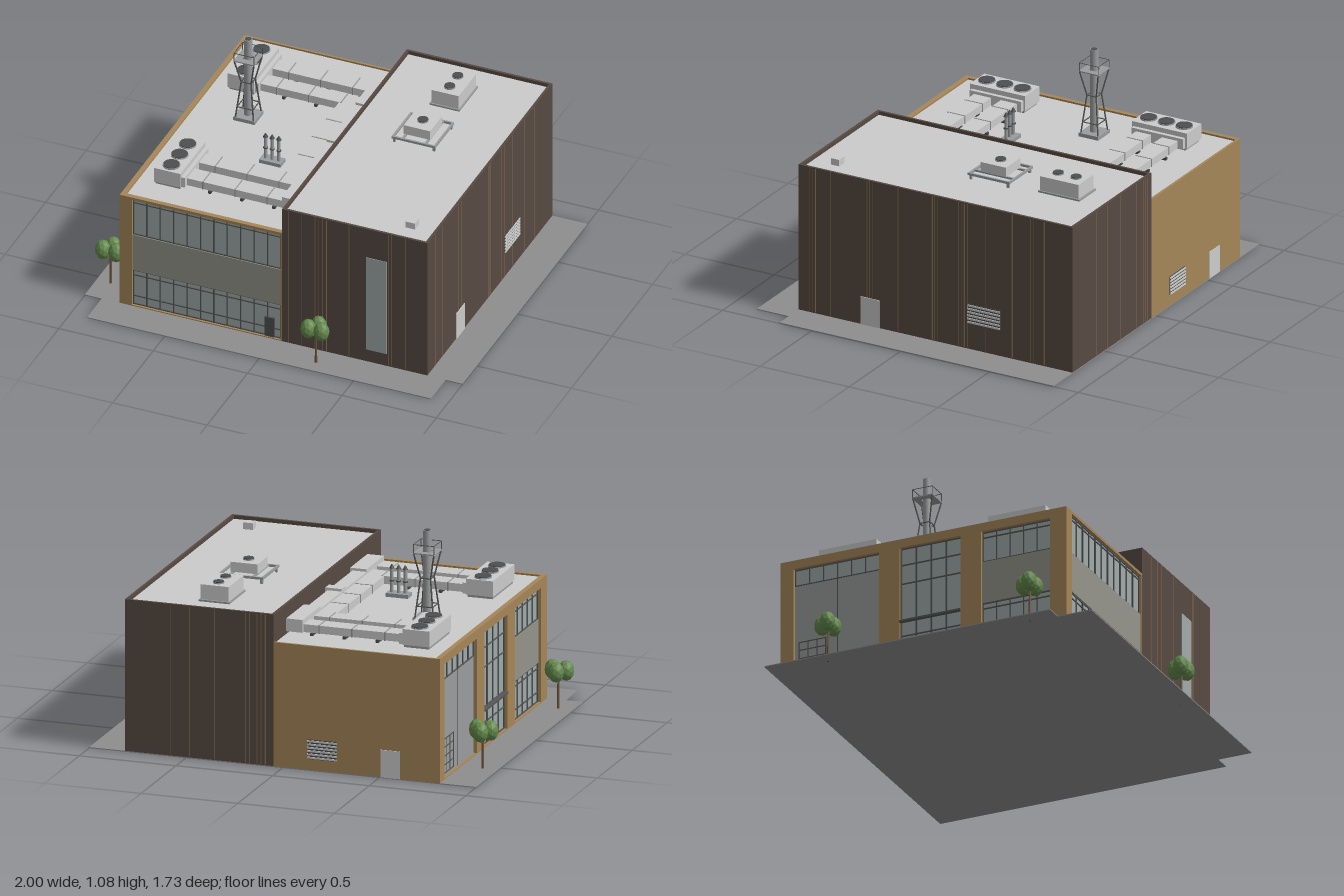
import * as THREE from 'three';

const mat = (color, flatShading = false) => new THREE.MeshStandardMaterial({ color, flatShading });
const GREY = mat(0xcccccc), PAVING = mat(0x8e8e8e), BROWN = mat(0x574a42), STRIP = mat(0x836a50);
const TAN = mat(0xa58659), GLASS = mat(0xa0aaaa), SPANDREL = mat(0x94948b), FRAME = mat(0x555856);
const DARK = mat(0x4c4e4f), LEAF = mat(0x64894c, true), BARK = mat(0x6b553c), METAL = mat(0x9a9c9d);

export function createModel() {
  const model = new THREE.Group();
  model.name = 'industrialBuilding';

  const add = (name, geo, m, x = 0, y = 0, z = 0, parent = model) => {
    const mesh = new THREE.Mesh(geo, m);
    mesh.name = name;
    mesh.position.set(x, y, z);
    parent.add(mesh);
    return mesh;
  };
  // Box given by its limits on each axis
  const box = (name, m, x0, x1, y0, y1, z0, z1, parent = model) =>
    add(name, new THREE.BoxGeometry(x1 - x0, y1 - y0, z1 - z0), m,
      (x0 + x1) / 2, (y0 + y1) / 2, (z0 + z1) / 2, parent);
  const cyl = (name, m, r0, r1, y0, y1, x, z, n = 16, parent = model) =>
    add(name, new THREE.CylinderGeometry(r1, r0, y1 - y0, n), m, x, (y0 + y1) / 2, z, parent);
  const rod = (name, m, a, b, r, parent = model) => {
    const A = new THREE.Vector3(...a), B = new THREE.Vector3(...b), d = B.clone().sub(A);
    const mesh = add(name, new THREE.CylinderGeometry(r, r, d.length(), 6), m, 0, 0, 0, parent);
    mesh.position.copy(A).add(B).multiplyScalar(0.5);
    mesh.quaternion.setFromUnitVectors(new THREE.Vector3(0, 1, 0), d.normalize());
    return mesh;
  };
  // Flat plate with rectangular openings
  const plate = (name, m, [u0, u1, v0, v1], holes, depth) => {
    const path = (P, a, b, c, d) => {
      const p = new P();
      p.moveTo(a, c); p.lineTo(b, c); p.lineTo(b, d); p.lineTo(a, d); p.closePath();
      return p;
    };
    const shape = path(THREE.Shape, u0, u1, v0, v1);
    holes.forEach(([a, b, c, d]) => shape.holes.push(path(THREE.Path, a, b, c, d)));
    return add(name, new THREE.ExtrudeGeometry(shape, { depth, bevelEnabled: false }), m);
  };
  // Window bars inside a rectangle; the group's local +z faces outward
  const glazing = (name, parent, [u0, u1, v0, v1], cols, rails, pane = GLASS) => {
    const g = new THREE.Group();
    g.name = name;
    parent.add(g);
    box('pane', pane, u0, u1, v0, v1, 0, 0.004, g);
    for (let i = 0; i <= cols; i++) {
      const u = u0 + 0.003 + (u1 - u0 - 0.006) * i / cols;
      box('mullion', FRAME, u - 0.003, u + 0.003, v0, v1, 0.003, 0.01, g);
    }
    [v0 + 0.003, ...rails, v1 - 0.003].forEach(v =>
      box('rail', FRAME, u0, u1, v - 0.003, v + 0.003, 0.003, 0.009, g));
  };
  const louvre = (name, parent, [u0, u1, v0, v1], n) => {
    const g = new THREE.Group();
    g.name = name;
    parent.add(g);
    box('backing', DARK, u0, u1, v0, v1, 0, 0.002, g);
    for (let i = 0; i < n; i++) {
      const v = v0 + (v1 - v0) * (i + 0.5) / n;
      box('slat', GREY, u0, u1, v - 0.005, v + 0.004, 0.001, 0.006, g);
    }
  };
  // Group whose local x runs along a wall and local z points outward
  const face = (name, x, z, turn) => {
    const g = new THREE.Group();
    g.name = name;
    g.position.set(x, 0, z);
    g.rotation.y = turn;
    model.add(g);
    return g;
  };

  // Paving
  box('paving', PAVING, -1, 1, 0, 0.005, -0.86, 0.68);
  box('frontPaving', PAVING, -0.91, 0.91, 0, 0.005, 0.68, 0.86);

  // Brown hall with a parapet
  box('hall', BROWN, 0.045, 0.815, 0.005, 0.75, -0.86, 0.68);
  box('hallRoof', GREY, 0.055, 0.805, 0.75, 0.756, -0.85, 0.67);
  const parapet = plate('hallParapet', BROWN, [0.045, 0.815, -0.68, 0.86], [[0.058, 0.802, -0.667, 0.847]], 0.025);
  parapet.rotation.x = -Math.PI / 2;
  parapet.position.y = 0.75;

  // Office wing: core, walls with openings, roof and low parapet
  box('wingCore', TAN, -0.79, 0.045, 0.005, 0.62, -0.86, 0.655);
  plate('wingFrontWall', TAN, [-0.815, 0.045, 0.005, 0.635], [[-0.75, 0.037, 0.01, 0.62]], 0.025).position.z = 0.655;
  const bays = [[-0.79, -0.33, 0.01, 0.59], [-0.22, 0.11, 0.01, 0.59], [0.22, 0.59, 0.01, 0.59]];
  const side = plate('wingSideWall', TAN, [-0.86, 0.655, 0.005, 0.635], bays, 0.025);
  side.rotation.y = -Math.PI / 2;
  side.position.x = -0.79;
  box('wingRoof', GREY, -0.8, 0.045, 0.62, 0.626, -0.85, 0.665);
  box('wingRearParapet', TAN, -0.79, 0.045, 0.62, 0.635, -0.86, -0.848);

  // Front glazing of the wing
  const front = face('frontGlazing', 0, 0.66, 0);
  glazing('upperWindows', front, [-0.75, 0.037, 0.415, 0.62], 11, [0.6]);
  box('spandrel', SPANDREL, -0.75, 0.037, 0.21, 0.415, 0, 0.014, front);
  glazing('lowerWindows', front, [-0.75, 0.037, 0.01, 0.21], 11, [0.06, 0.18]);
  box('entranceDoor', DARK, -0.05, 0, 0.01, 0.12, 0.004, 0.014, front);

  // Side bays of the wing; local x equals z
  const left = face('sideBays', -0.791, 0, -Math.PI / 2);
  box('shutter', METAL, -0.79, -0.33, 0.01, 0.5, 0, 0.008, left);
  glazing('shutterTransom', left, [-0.79, -0.33, 0.5, 0.59], 6, []);
  glazing('shutterWicket', left, [-0.77, -0.62, 0.02, 0.2], 3, [0.065, 0.11, 0.155], METAL);
  box('shutterSeam', FRAME, -0.562, -0.558, 0.01, 0.5, 0.006, 0.01, left);
  glazing('curtainWall', left, [-0.22, 0.11, 0.01, 0.59], 4, [0.12, 0.2, 0.4, 0.5]);
  glazing('bayUpperWindows', left, [0.22, 0.59, 0.43, 0.59], 5, [0.56]);
  box('baySpandrel', SPANDREL, 0.22, 0.59, 0.21, 0.43, 0, 0.012, left);
  glazing('bayLowerWindows', left, [0.22, 0.59, 0.01, 0.21], 5, [0.06, 0.18]);
  box('bayCanopy', FRAME, -0.22, 0.11, 0.19, 0.2, 0.01, 0.03, left);

  // Rear openings; local x is the negative of x
  const rear = face('rearOpenings', 0, -0.86, Math.PI);
  louvre('rearLouvre', rear, [0.13, 0.28, 0.06, 0.16], 6);
  box('rearDoor', GREY, 0.51, 0.61, 0.005, 0.145, 0, 0.004, rear);

  // Hall openings and thin cladding strips
  const right = face('hallSide', 0.815, 0, Math.PI / 2);
  louvre('sideLouvre', right, [0.27, 0.455, 0.14, 0.245], 6);
  box('sideDoor', GREY, -0.33, -0.225, 0.005, 0.152, 0, 0.004, right);
  const hallFront = face('hallFront', 0, 0.68, 0);
  box('tallWindow', GLASS, 0.49, 0.6, 0.075, 0.61, 0, 0.003, hallFront);
  const strips = (parent, list) => list.forEach(u =>
    box('claddingStrip', STRIP, u - 0.002, u + 0.002, 0.01, 0.77, 0, 0.001, parent));
  strips(right, [-0.62, -0.6, -0.585, -0.5, -0.295, -0.28, -0.265, -0.12, 0.07, 0.085, 0.1,
    0.22, 0.235, 0.25, 0.27, 0.37, 0.52, 0.625, 0.64, 0.7]);
  strips(hallFront, [0.08, 0.15, 0.22, 0.24, 0.26, 0.28, 0.4, 0.61, 0.625, 0.7]);
  strips(rear, [-0.09, -0.11, -0.13, -0.17, -0.19, -0.35, -0.48, -0.58]);

  // Round fan on top of a roof unit
  const fan = (x, y, z, r) => {
    cyl('fanRing', METAL, r * 1.08, r * 1.08, y, y + 0.006, x, z, 24);
    cyl('fan', DARK, r, r, y, y + 0.01, x, z, 24);
  };

  // Hall roof units
  box('twinFanUnit', GREY, 0.335, 0.48, 0.75, 0.84, -0.7, -0.485);
  box('twinFanCurb', METAL, 0.328, 0.487, 0.75, 0.765, -0.71, -0.478);
  [-0.645, -0.545].forEach(z => fan(0.407, 0.84, z, 0.026));
  box('singleFanUnit', GREY, 0.335, 0.475, 0.79, 0.84, -0.29, -0.145);
  fan(0.405, 0.84, -0.22, 0.026);
  [-1, 1].forEach(s => {
    box('unitFrame', METAL, 0.405 + s * 0.111 - 0.005, 0.405 + s * 0.111 + 0.005, 0.778, 0.79, -0.335, -0.1);
    box('unitFrame', METAL, 0.29, 0.52, 0.778, 0.79, -0.218 + s * 0.112 - 0.005, -0.218 + s * 0.112 + 0.005);
    box('unitBeam', METAL, 0.405 + s * 0.06 - 0.005, 0.405 + s * 0.06 + 0.005, 0.78, 0.79, -0.335, -0.1);
    [-1, 1].forEach(t => box('unitFoot', METAL, 0.405 + s * 0.105 - 0.006, 0.405 + s * 0.105 + 0.006,
      0.75, 0.78, -0.218 + t * 0.105 - 0.006, -0.218 + t * 0.105 + 0.006));
  });
  box('roofHatch', GREY, 0.65, 0.7, 0.75, 0.79, 0.518, 0.565);

  // Chillers with three fans, and their ducts
  [-0.55, 0.36].forEach(z => {
    box('chiller', GREY, -0.705, -0.565, 0.64, 0.72, z - 0.155, z + 0.155);
    box('chillerCurb', METAL, -0.7, -0.57, 0.622, 0.64, z - 0.145, z + 0.145);
    box('chillerOutlet', GREY, -0.565, -0.545, 0.64, 0.695, z - 0.145, z + 0.145);
    [-0.1, 0, 0.1].forEach(d => fan(-0.635, 0.72, z + d, 0.04));
  });
  [[-0.665, -0.575], [-0.515, -0.43], [0.24, 0.33], [0.385, 0.48]].forEach(([z0, z1]) => {
    box('branchDuct', GREY, -0.55, -0.035, 0.64, 0.68, z0, z1);
    [-0.46, -0.29, -0.12].forEach(x => {
      box('ductFlange', METAL, x - 0.003, x + 0.003, 0.638, 0.682, z0 - 0.002, z1 + 0.002);
      box('ductSupport', DARK, x + 0.03, x + 0.045, 0.62, 0.64, z0 - 0.008, z1 + 0.008);
    });
  });
  box('crossDuct', GREY, -0.13, -0.04, 0.64, 0.68, -0.43, 0.24);
  [-0.27, -0.1, 0.07].forEach(z => box('ductFlange', METAL, -0.132, -0.038, 0.638, 0.682, z - 0.003, z + 0.003));
  [[-0.68, -0.425], [0.237, 0.485], [-0.12, -0.068]].forEach(([z0, z1]) =>
    box('wallDuct', GREY, -0.04, 0.045, 0.64, 0.705, z0, z1));
  [[-0.425, -0.12], [-0.068, 0.237]].forEach(([z0, z1]) =>
    box('linkDuct', GREY, -0.04, 0.033, 0.64, 0.692, z0, z1));

  // Chimney with braced mast and platform
  const cx = -0.517, cz = -0.212;
  box('chimneyBase', METAL, cx - 0.057, cx + 0.057, 0.622, 0.645, cz - 0.055, cz + 0.055);
  cyl('chimney', METAL, 0.021, 0.021, 0.64, 1.08, cx, cz, 20);
  cyl('chimneyMouth', DARK, 0.016, 0.016, 1.07, 1.082, cx, cz, 20);
  plate('platform', METAL, [-0.055, 0.055, -0.055, 0.055], [[-0.022, 0.022, -0.022, 0.022]], 0.006);
  const deck = model.children[model.children.length - 1];
  deck.rotation.x = -Math.PI / 2;
  deck.position.set(cx, 0.967, cz);
  const corners = [[-1, -1], [1, -1], [1, 1], [-1, 1]];
  corners.forEach(([a, b], i) => {
    const [c, d] = corners[(i + 1) % 4];
    const at = (p, q, r, y) => [cx + p * r, y, cz + q * r];
    rod('mastLeg', FRAME, at(a, b, 0.048, 0.64), at(a, b, 0.026, 0.84), 0.004);
    rod('mastStrut', FRAME, at(a, b, 0.026, 0.84), at(a, b, 0.052, 0.967), 0.004);
    rod('mastTie', FRAME, at(a, b, 0.026, 0.84), at(c, d, 0.026, 0.84), 0.003);
    rod('mastTie', FRAME, at(a, b, 0.041, 0.7), at(c, d, 0.041, 0.7), 0.003);
    rod('railPost', FRAME, at(a, b, 0.053, 0.97), at(a, b, 0.053, 1.015), 0.002);
    rod('handrail', FRAME, at(a, b, 0.053, 1.015), at(c, d, 0.053, 1.015), 0.002);
  });

  // Three vent pipes on a curb
  box('ventCurb', METAL, -0.31, -0.195, 0.62, 0.645, 0.08, 0.14);
  [-0.287, -0.252, -0.217].forEach(x => {
    cyl('ventPipe', METAL, 0.009, 0.009, 0.64, 0.765, x, 0.11);
    cyl('ventCollar', DARK, 0.012, 0.012, 0.7, 0.706, x, 0.11);
    cyl('ventCap', DARK, 0.013, 0.003, 0.765, 0.785, x, 0.11);
  });

  // Low-poly trees
  [[-0.925, -0.55], [-0.925, 0.535], [0.27, 0.785]].forEach(([x, z]) => {
    const tree = new THREE.Group();
    tree.name = 'tree';
    tree.position.set(x, 0, z);
    model.add(tree);
    cyl('trunk', BARK, 0.007, 0.005, 0, 0.19, 0, 0, 8, tree);
    [[-0.036, 0.012], [0.034, 0.012], [0, -0.034]].forEach(([dx, dz], i) =>
      add('foliage', new THREE.IcosahedronGeometry(0.042, 1), LEAF, dx, 0.198, dz, tree)
        .scale.set(0.95, 1.25, 0.95));
  });
  return model;
}
